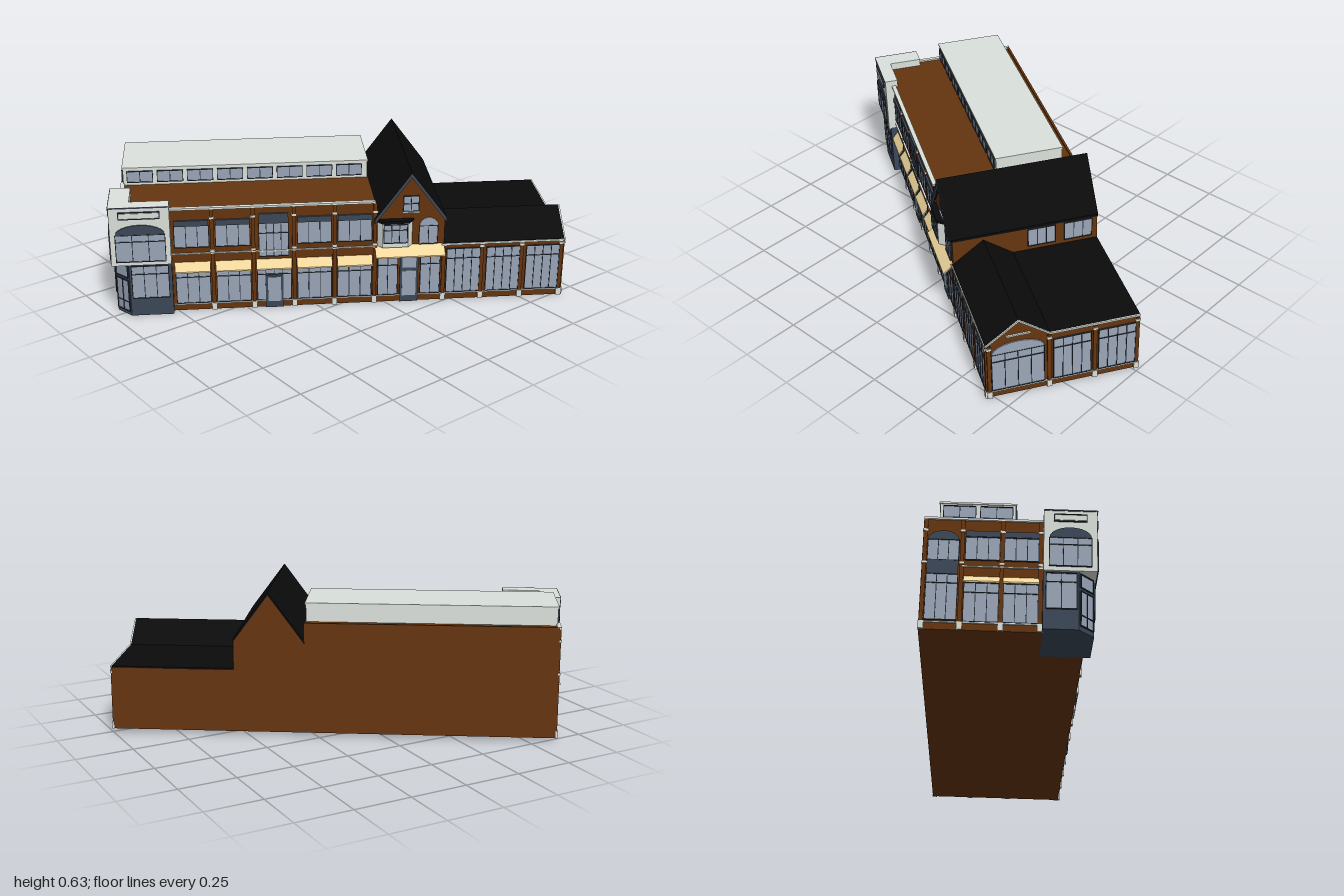
import * as THREE from 'three';

const mat = (color) => new THREE.MeshStandardMaterial({ color, side: THREE.DoubleSide });
const BRICK = mat(0x65350f), GLASS = mat(0x9aa6b8), SLATE = mat(0x3c4858), STONE = mat(0xdbe1dc);
const CREAM = mat(0xf0d79c), BLACK = mat(0x0b0b0b), LEAD = mat(0x2a313b);

function add(g, name, geo, m) {
  const mesh = new THREE.Mesh(geo, m);
  mesh.name = name;
  g.add(mesh);
  return mesh;
}

// Box given by its limits along the wall, in height and in depth
function block(g, name, m, u0, u1, y0, y1, z0, z1) {
  const geo = new THREE.BoxGeometry(u1 - u0, y1 - y0, z1 - z0);
  return add(g, name, geo.translate((u0 + u1) / 2, (y0 + y1) / 2, (z0 + z1) / 2), m);
}

// Outline in the wall plane, extruded from z0 to z1
function prism(g, name, m, pts, z0, z1) {
  const shape = new THREE.Shape(pts.map((p) => new THREE.Vector2(...p)));
  const geo = new THREE.ExtrudeGeometry(shape, { depth: z1 - z0, bevelEnabled: false });
  return add(g, name, geo.translate(0, 0, z0), m);
}

// Sheet of the given thickness following a roof line
function sheet(g, name, m, line, t, z0, z1) {
  const under = line.map(([u, y]) => [u, y - t]).reverse();
  return prism(g, name, m, [...line, ...under], z0, z1);
}

// Plan outline [x, z], extruded from y0 to y1
function slab(g, name, m, plan, y0, y1) {
  const mesh = prism(g, name, m, plan.map(([x, z]) => [x, -z]), y0, y1);
  mesh.geometry.rotateX(-Math.PI / 2);
  return mesh;
}

// Glazing with frame, upright bars and an optional transom
function windowUnit(g, u0, u1, y0, y1, cols = 3, transom = 0) {
  const w = new THREE.Group(), b = 0.003;
  w.name = 'window';
  block(w, 'glass', GLASS, u0, u1, y0, y1, -0.002, 0.003);
  for (let i = 0; i <= cols; i++) {
    const u = u0 + ((u1 - u0) * i) / cols;
    block(w, 'upright', LEAD, u - b / 2, u + b / 2, y0, y1, 0, 0.006);
  }
  const rails = [y0, y1];
  if (transom) rails.push(y0 + (y1 - y0) * transom);
  for (const y of rails) block(w, 'rail', LEAD, u0, u1, y - b / 2, y + b / 2, 0, 0.0065);
  g.add(w);
}

// Half-elliptical panel over a window
function archHead(g, u0, u1, y, h, m) {
  const pts = [];
  for (let i = 0; i <= 12; i++) {
    const a = (Math.PI * i) / 12;
    pts.push([(u0 + u1) / 2 + ((u1 - u0) / 2) * Math.cos(a), y + h * Math.sin(a)]);
  }
  prism(g, 'archHead', m, pts, -0.002, 0.005);
}

// Sloping canopy with a short front valance
function awning(g, u0, u1, y0, y1, d) {
  const shape = new THREE.Shape([[0, y1], [d, y0 + 0.006], [d, y0], [d - 0.003, y0], [0, y1 - 0.006]]
    .map((p) => new THREE.Vector2(...p)));
  const geo = new THREE.ExtrudeGeometry(shape, { depth: u1 - u0, bevelEnabled: false });
  add(g, 'awning', geo.rotateY(-Math.PI / 2).translate(u1, 0, 0), CREAM);
}

// Brick pier with stone foot and capitals
function pier(g, u, top, caps) {
  block(g, 'pier', BRICK, u - 0.008, u + 0.008, 0, top, 0, 0.006);
  block(g, 'pierFoot', STONE, u - 0.011, u + 0.011, 0, 0.032, 0, 0.009);
  for (const y of caps) block(g, 'capital', STONE, u - 0.011, u + 0.011, y, y + 0.009, 0, 0.009);
}

// Wall-aligned group: x runs along the wall, z points outward
function wall(parent, name, x, z, turn) {
  const g = new THREE.Group();
  g.name = name;
  g.position.set(x, 0, z);
  g.rotation.y = turn;
  parent.add(g);
  return g;
}

function shopBay(g, u0, u1, tallCentre) {
  windowUnit(g, u0, u1, 0.035, 0.2, tallCentre ? 4 : 3, 0.75);
  awning(g, u0 - 0.003, u1 + 0.003, 0.19, 0.23, 0.028);
  if (tallCentre) {
    const c = (u0 + u1) / 2;
    block(g, 'shopDoor', SLATE, c - 0.038, c + 0.038, 0.0, 0.155, 0, 0.008);
    block(g, 'shopDoorGlass', GLASS, c - 0.028, c + 0.028, 0.03, 0.145, 0, 0.01);
    windowUnit(g, u0 + 0.01, u1 - 0.01, 0.245, 0.4, 4, 0.7);
    block(g, 'windowHead', SLATE, u0 + 0.01, u1 - 0.01, 0.4, 0.445, 0, 0.009);
  } else {
    windowUnit(g, u0, u1, 0.3, 0.4, 3);
    block(g, 'windowHead', SLATE, u0, u1, 0.4, 0.425, 0, 0.009);
  }
}

export function createModel() {
  const model = new THREE.Group();
  model.name = 'shopBuilding';
  const b = new THREE.Group();
  b.name = 'building';
  b.position.y = 0.009;
  b.rotation.z = -0.027;
  model.add(b);
  model.rotation.y = -0.568;

  const street = wall(b, 'streetFront', 0.295, 0, Math.PI / 2);
  const front = wall(b, 'frontEnd', 0, 0.926, 0);
  const rear = wall(b, 'rearEnd', 0, -0.97, Math.PI);

  // Main two-storey block
  block(b, 'mainBlock', BRICK, -0.335, 0.295, 0, 0.476, -0.145, 0.926);
  block(street, 'streetCoping', STONE, -0.72, 0.145, 0.474, 0.483, -0.01, 0.009);
  block(front, 'frontCoping', STONE, -0.335, 0.128, 0.474, 0.483, -0.01, 0.008);
  block(street, 'stringCourse', STONE, -0.72, 0.145, 0.268, 0.273, 0, 0.007);
  block(front, 'stringCourse', STONE, -0.18, 0.128, 0.268, 0.273, 0, 0.007);
  block(b, 'backCoping', BRICK, -0.335, -0.325, 0.47, 0.483, -0.145, 0.926);

  // Street bays
  for (let i = 0; i < 5; i++) {
    const u = -0.72 + i * 0.173;
    shopBay(street, u + 0.014, u + 0.159, i === 2);
    pier(street, u + 0.173, 0.474, [0.278, 0.43]);
  }

  // Front end: tall arched bay and two shop bays
  windowUnit(front, -0.315, -0.195, 0.04, 0.235, 3, 0.8);
  block(front, 'spandrel', SLATE, -0.315, -0.195, 0.235, 0.295, 0, 0.006);
  windowUnit(front, -0.315, -0.195, 0.295, 0.385, 3);
  archHead(front, -0.315, -0.195, 0.385, 0.04, SLATE);
  for (const u of [-0.17, -0.02]) shopBay(front, u, u + 0.132, false);
  for (const u of [-0.326, -0.182, -0.028, 0.12]) pier(front, u, 0.474, [0.278, 0.42]);

  // Rooftop storey
  block(b, 'roofStorey', STONE, -0.275, 0.02, 0.47, 0.557, -0.14, 0.922);
  block(b, 'roofStoreyEdge', STONE, -0.279, 0.024, 0.55, 0.558, -0.144, 0.926);
  const upperSide = wall(b, 'roofStoreySide', 0.02, 0, Math.PI / 2);
  for (let i = 0; i < 8; i++) windowUnit(upperSide, -0.905 + i * 0.13, -0.795 + i * 0.13, 0.49, 0.54, 2);
  const upperEnd = wall(b, 'roofStoreyEnd', 0, 0.922, 0);
  for (const u of [-0.262, -0.118]) windowUnit(upperEnd, u, u + 0.126, 0.488, 0.54, 2);

  // Corner tower: chamfered shopfront below, stone bay above
  const foot = [[0.128, 0.72], [0.325, 0.72], [0.325, 0.9], [0.264, 0.96], [0.128, 0.96]];
  slab(b, 'towerShopfront', SLATE, foot, 0, 0.25);
  const tf = wall(b, 'towerShopFront', 0, 0.96, 0);
  windowUnit(tf, 0.14, 0.256, 0.085, 0.235, 2, 0.75);
  const ts = wall(b, 'towerShopSide', 0.325, 0, Math.PI / 2);
  windowUnit(ts, -0.89, -0.735, 0.085, 0.235, 3, 0.75);
  const td = wall(b, 'towerDoor', 0.2945, 0.93, Math.PI / 4);
  windowUnit(td, -0.036, 0.036, 0.02, 0.165, 2, 0.3);
  windowUnit(td, -0.036, 0.036, 0.18, 0.235, 1);
  slab(b, 'towerBay', STONE, [[0.128, 0.886], [0.275, 0.886], [0.275, 0.72], [0.334, 0.72],
    [0.334, 0.97], [0.128, 0.97]], 0.243, 0.51);
  const faces = [[wall(b, 'towerFront', 0, 0.97, 0), 0.128, 0.334],
    [wall(b, 'towerSide', 0.334, 0, Math.PI / 2), -0.97, -0.72]];
  for (const [g, u0, u1] of faces) {
    windowUnit(g, u0 + 0.022, u1 - 0.022, 0.262, 0.385, 3, 0.75);
    archHead(g, u0 + 0.022, u1 - 0.022, 0.385, 0.045, SLATE);
    windowUnit(g, u0 + 0.04, u1 - 0.04, 0.458, 0.488, 1);
    block(g, 'towerPanel', STONE, u0 + 0.044, u1 - 0.044, 0.462, 0.484, 0, 0.006);
    block(g, 'towerCornice', SLATE, u0, u1, 0.505, 0.51, 0, 0.003);
  }

  // Gabled house with steep roof
  prism(street, 'gableHouse', BRICK, [[0.145, 0], [0.445, 0], [0.445, 0.405], [0.295, 0.603], [0.145, 0.405]], -0.63, 0);
  const gable = [[0.141, 0.403], [0.295, 0.612], [0.449, 0.403]];
  sheet(street, 'steepRoof', BLACK, gable, 0.012, -0.632, 0.018);
  sheet(street, 'bargeboard', SLATE, gable.map(([u, y]) => [u, y - 0.002]), 0.02, 0.01, 0.02);
  windowUnit(street, 0.265, 0.33, 0.43, 0.5, 2, 0.5);
  block(street, 'gableSill', STONE, 0.26, 0.335, 0.424, 0.43, 0, 0.01);
  // Oriel and arched window
  const oriel = [[0.155, 0], [0.175, 0.025], [0.285, 0.025], [0.305, 0]];
  const plan = (pts) => pts.map(([u, d]) => [u, d]);
  slab(street, 'orielBody', STONE, plan(oriel), 0.272, 0.385);
  slab(street, 'orielRoof', BLACK, [[0.15, 0], [0.173, 0.03], [0.287, 0.03], [0.31, 0]], 0.385, 0.397);
  const orielFace = new THREE.Group();
  orielFace.name = 'orielGlazing';
  orielFace.position.z = 0.025;
  windowUnit(orielFace, 0.18, 0.28, 0.295, 0.38, 3, 0.7);
  street.add(orielFace);
  windowUnit(street, 0.335, 0.415, 0.275, 0.36, 2);
  archHead(street, 0.335, 0.415, 0.36, 0.038, GLASS);
  // House shopfront
  awning(street, 0.145, 0.445, 0.23, 0.272, 0.045);
  windowUnit(street, 0.16, 0.245, 0.035, 0.225, 2, 0.75);
  windowUnit(street, 0.345, 0.43, 0.035, 0.225, 2, 0.75);
  block(street, 'houseDoor', SLATE, 0.255, 0.335, 0, 0.225, 0, 0.007);
  block(street, 'houseDoorGlass', GLASS, 0.265, 0.325, 0.03, 0.15, 0, 0.009);
  block(street, 'houseFanlight', GLASS, 0.265, 0.325, 0.165, 0.22, 0, 0.009);
  pier(street, 0.445, 0.272, [0.262]);
  // Windows above the low roof
  const back = wall(b, 'houseRearWall', 0, -0.445, Math.PI);
  for (const u of [0.03, 0.19]) windowUnit(back, u, u + 0.12, 0.3, 0.385, 3);

  // Low rear wing: gable on the street side, flat roof behind
  const line = [[-0.299, 0.274], [-0.163, 0.374], [-0.036, 0.28], [0.335, 0.28]];
  prism(rear, 'rearWing', BRICK, [[-0.295, 0], ...line.map(([u, y]) => [Math.max(u, -0.295), y - 0.006]), [0.335, 0]], -0.525, 0);
  sheet(rear, 'lowRoof', BLACK, line, 0.008, -0.525, 0.002);
  sheet(rear, 'rearCoping', STONE, line, 0.008, 0.001, 0.007);
  block(street, 'wingEaves', STONE, 0.445, 0.97, 0.264, 0.272, 0, 0.008);
  for (let i = 0; i < 3; i++) {
    const u = 0.445 + i * 0.175;
    windowUnit(street, u + 0.014, u + 0.16, 0.035, 0.245, 4, 0.78);
    pier(street, u + 0.167, 0.268, [0.25]);
  }
  windowUnit(rear, -0.275, -0.06, 0.035, 0.22, 4, 0.8);
  archHead(rear, -0.275, -0.06, 0.22, 0.05, GLASS);
  block(rear, 'gableBand', STONE, -0.215, -0.115, 0.298, 0.305, 0, 0.007);
  for (const u of [-0.022, 0.165]) windowUnit(rear, u, u + 0.155, 0.035, 0.24, 4, 0.78);
  for (const u of [-0.286, -0.04, 0.149, 0.326]) pier(rear, u, 0.268, [0.25]);

  // Plinth courses
  block(street, 'streetPlinth', STONE, -0.72, 0.97, 0.028, 0.033, 0, 0.006);
  block(front, 'frontPlinth', STONE, -0.335, 0.128, 0.028, 0.033, 0, 0.006);
  block(rear, 'rearPlinth', STONE, -0.295, 0.335, 0.028, 0.033, 0, 0.006);

  const out = new THREE.Group();
  out.name = 'model';
  out.add(model);
  return out;
}
